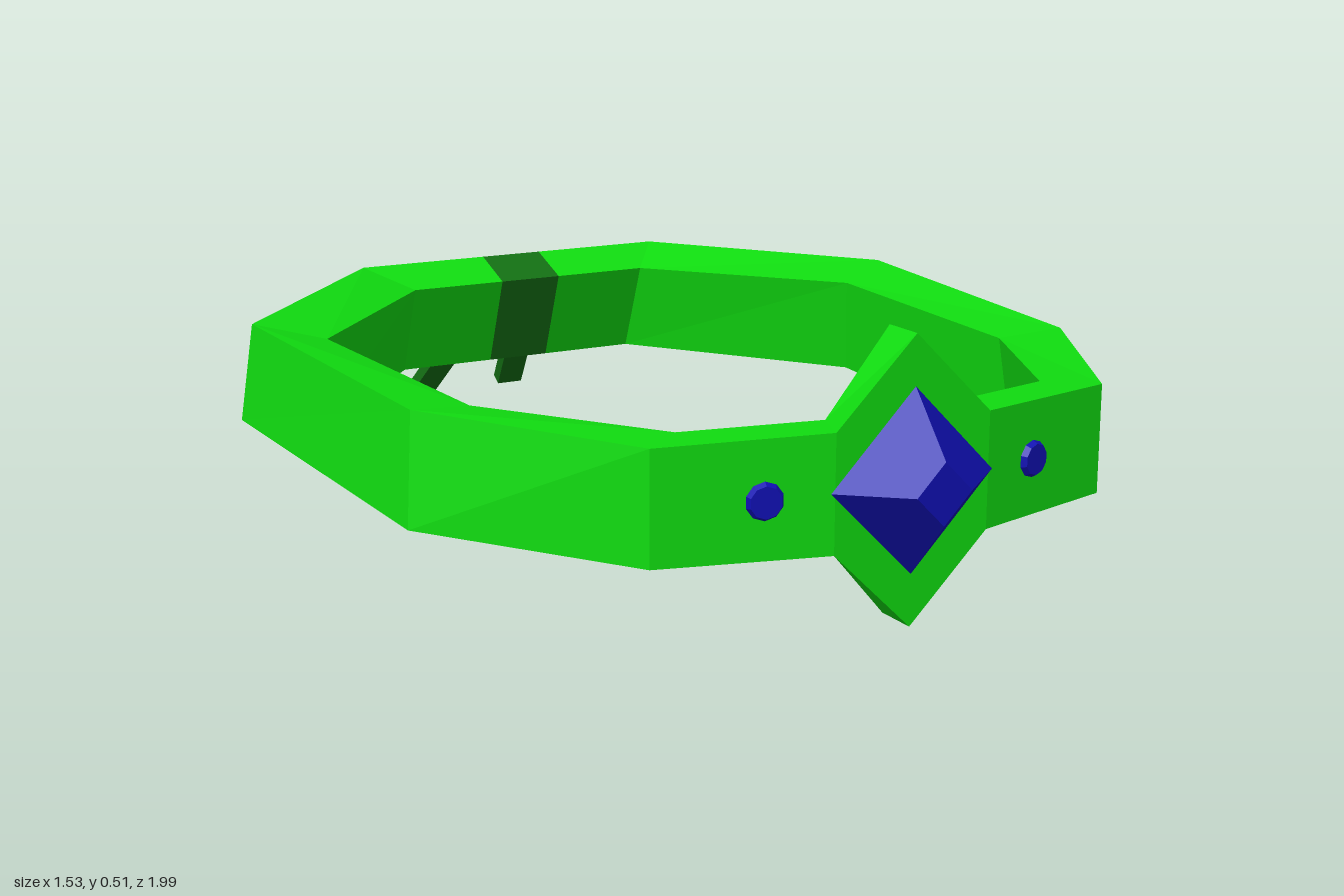
import * as THREE from 'three';

const mat = (name, color, side = THREE.FrontSide) => {
  const m = new THREE.MeshStandardMaterial({ color, flatShading: true, side });
  m.name = name;
  return m;
};

// Loft through four-cornered sections, flat faces
function loft(sections, caps = false) {
  const pos = [];
  const quad = (a, b, c, d) => pos.push(...a, ...b, ...c, ...a, ...c, ...d);
  for (let i = 0; i < sections.length - 1; i++) {
    const a = sections[i], b = sections[i + 1];
    for (let k = 0; k < 4; k++) {
      const n = (k + 1) % 4;
      quad(a[n], b[n], b[k], a[k]);
    }
  }
  if (caps) {
    const e = sections[sections.length - 1];
    quad(...sections[0]);
    quad(e[3], e[2], e[1], e[0]);
  }
  const g = new THREE.BufferGeometry();
  g.setAttribute('position', new THREE.Float32BufferAttribute(pos, 3));
  g.computeVertexNormals();
  return g;
}

export function createModel() {
  const root = new THREE.Group();
  root.name = 'circlet';
  const green = mat('bright green', 0x10dc10);
  const dark = mat('dark green', 0x147014, THREE.DoubleSide);
  const blue = mat('deep blue', 0x1010b4);
  const add = (name, geo, m, parent = root) => {
    const mesh = new THREE.Mesh(geo, m);
    mesh.name = name;
    parent.add(mesh);
    return mesh;
  };

  // Band sections: outer top, outer bottom, inner bottom, inner top
  const back = (xo, xi) => [[xo, 0.39, -0.69], [xo, 0.2, -0.77], [xi, 0.155, -0.66], [xi, 0.35, -0.585]];
  const half = [
    [[0.155, 0.36, 0.91], [0.155, 0.15, 0.91], [0.125, 0.15, 0.83], [0.125, 0.36, 0.83]],
    [[0.46, 0.355, 0.835], [0.46, 0.152, 0.835], [0.375, 0.15, 0.765], [0.375, 0.355, 0.765]],
    [[0.70, 0.355, 0.42], [0.72, 0.15, 0.445], [0.595, 0.13, 0.41], [0.575, 0.34, 0.385]],
    [[0.745, 0.375, -0.295], [0.765, 0.175, -0.325], [0.64, 0.14, -0.26], [0.615, 0.345, -0.225]],
    back(0.36, 0.28),
    back(0.07, 0.07),
  ];
  const mirrored = half.map((s) => s.map(([x, y, z]) => [-x, y, z])).reverse();
  add('leftBand', loft(half), green);
  add('rightBand', loft(mirrored), green);
  add('ribbonWrap', loft([half[5], mirrored[0]]), dark);

  // Front plate: pointed above and below, narrower at its back
  const outline = new THREE.Shape([[0, 0], [0.155, 0.15], [0.155, 0.36], [0, 0.51], [-0.155, 0.36], [-0.155, 0.15]]
    .map(([x, y]) => new THREE.Vector2(x, y)));
  const plate = new THREE.ExtrudeGeometry(outline, { depth: 0.08, bevelEnabled: false });
  const p = plate.attributes.position;
  for (let i = 0; i < p.count; i++) if (p.getZ(i) < 0.01) p.setX(i, p.getX(i) * 0.806);
  plate.translate(0, 0, 0.83);
  plate.computeVertexNormals();
  add('frontPlate', plate, green);

  // Cut gem and side studs
  const gem = add('gem', new THREE.CylinderGeometry(0.055, 0.163, 0.09, 4), blue);
  gem.rotation.x = Math.PI / 2;
  gem.position.set(0, 0.257, 0.955);
  for (const s of [1, -1]) {
    const stud = new THREE.CylinderGeometry(0.028, 0.036, 0.014, 10);
    stud.rotateX(Math.PI / 2);
    const m = add(s > 0 ? 'leftStud' : 'rightStud', stud, blue);
    m.position.set(s * 0.273, 0.253, 0.884);
    m.rotation.y = s * 0.245;
  }

  // Bow tied on the back of the band
  const bow = new THREE.Group();
  bow.name = 'bow';
  bow.position.set(0, 0.305, -0.755);
  bow.rotation.x = 0.4;
  root.add(bow);
  const loopShape = new THREE.Shape([[0.02, -0.015], [0.10, -0.045], [0.135, -0.03], [0.13, 0.015], [0.1, 0.025], [0.02, 0.015]]
    .map(([x, z]) => new THREE.Vector2(x, z)));
  loopShape.holes.push(new THREE.Path([[0.045, -0.005], [0.1, 0.01], [0.115, 0.005], [0.12, -0.02], [0.1, -0.03]]
    .map(([x, z]) => new THREE.Vector2(x, z))));
  for (const s of [1, -1]) {
    const loop = new THREE.ExtrudeGeometry(loopShape, { depth: 0.055, bevelEnabled: false });
    loop.translate(0, 0, -0.0275);
    loop.rotateX(Math.PI / 2);
    if (s < 0) loop.rotateZ(Math.PI);
    const m = add(s > 0 ? 'leftLoop' : 'rightLoop', loop, dark, bow);
    m.rotation.z = -s * 0.15;
  }
  const knot = add('knot', new THREE.BoxGeometry(0.075, 0.085, 0.06), dark, bow);
  knot.position.z = -0.03;

  // Ribbon tails, bent where they leave the band
  const path = [[0.03, 0.28, -0.775], [0.075, 0.2, -0.805], [0.115, 0.025, -0.975]];
  for (const s of [1, -1]) {
    const tail = path.map(([x, y, z]) => [
      [s * x - 0.031, y + 0.008, z - 0.012], [s * x + 0.031, y + 0.008, z - 0.012],
      [s * x + 0.031, y - 0.008, z + 0.012], [s * x - 0.031, y - 0.008, z + 0.012]]);
    add(s > 0 ? 'leftTail' : 'rightTail', loft(tail, true), dark);
  }
  return root;
}
